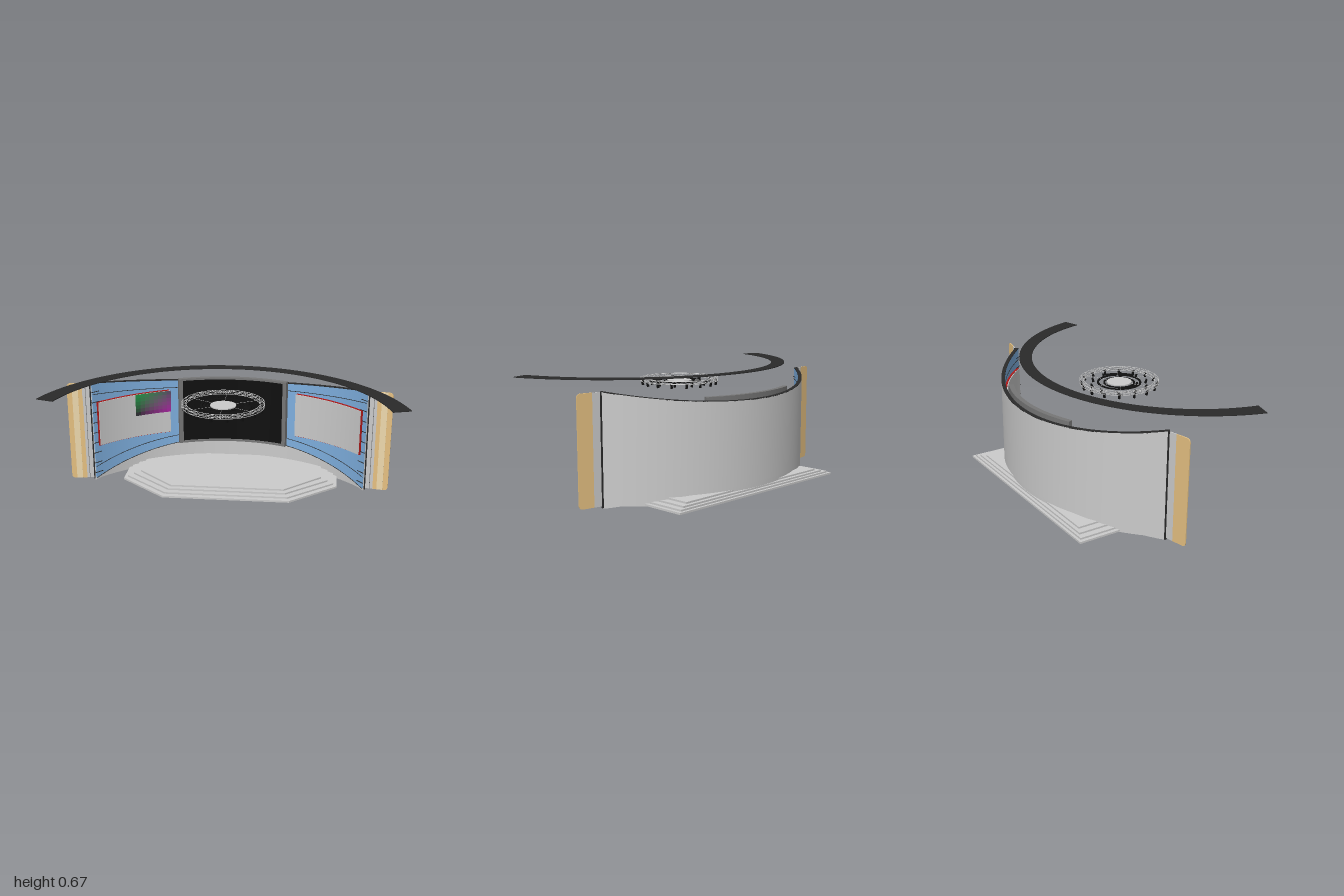
import * as THREE from 'three';
import { toCreasedNormals } from 'three/addons/utils/BufferGeometryUtils.js';

const mat = (color) => new THREE.MeshStandardMaterial({ color, side: THREE.DoubleSide });
const grey = mat(0xcccccc), blue = mat(0x7fb0e0), tan = mat(0xe6c182), paleTan = mat(0xeed9ae);
const dark = mat(0x2a2a2a), black = mat(0x101010), frameGrey = mat(0x777777), red = mat(0xb01818);

const CX = -0.01, CZ = 0.6, R = 1.05; // centre and outer radius of the curved wall
const wallAngle = Math.asin(0.82 / R);

function add(parent, name, geometry, material) {
  const mesh = new THREE.Mesh(geometry, material);
  mesh.name = name;
  parent.add(mesh);
  return mesh;
}

// Curved slab: a four-cornered section swept about a vertical axis.
// Bottom and top are functions of z.
function curvedSlab(cz, r0, r1, a0, a1, bottom, top, steps = 48) {
  const pos = [], idx = [], rm = (r0 + r1) / 2;
  for (let i = 0; i <= steps; i++) {
    const a = a0 + (a1 - a0) * i / steps, z = cz - rm * Math.cos(a);
    for (const [r, y] of [[r0, bottom(z)], [r1, bottom(z)], [r1, top(z)], [r0, top(z)]])
      pos.push(CX + r * Math.sin(a), y, cz - r * Math.cos(a));
  }
  for (let i = 0; i < steps; i++) {
    for (let j = 0; j < 4; j++) {
      const A = i * 4 + j, B = i * 4 + (j + 1) % 4;
      idx.push(A, B, A + 4, B, B + 4, A + 4);
    }
  }
  const e = steps * 4;
  idx.push(0, 2, 1, 0, 3, 2, e, e + 1, e + 2, e, e + 2, e + 3);
  const g = new THREE.BufferGeometry();
  g.setAttribute('position', new THREE.Float32BufferAttribute(pos, 3));
  g.setIndex(idx);
  return toCreasedNormals(g, 0.5);
}

// Flat plate from a plan shape whose second axis is z; its upper face is at y
function plate(parent, name, shape, y, depth, material) {
  const g = new THREE.ExtrudeGeometry(shape, { depth, bevelEnabled: false, curveSegments: 48 });
  g.rotateX(Math.PI / 2);
  const mesh = add(parent, name, g, material);
  mesh.position.y = y;
  return mesh;
}

const wallTop = (z) => 0.62 + (z + 0.055) * 0.2;
const wallBottom = (z) => -(z + 0.055) * 0.2;
const liningBottom = (z) => 0.02 - (z + 0.055) * 0.39;
const flat = (y) => () => y;

function buildDais(group) {
  const dais = new THREE.Group();
  dais.name = 'dais';
  // half width, back z, corner z, front z, front half width, top y
  const tiers = [
    [0.645, -0.47, -0.04, 0.2, 0.37, 0.024], [0.625, -0.455, -0.06, 0.17, 0.36, 0.034],
    [0.59, -0.44, -0.08, 0.135, 0.345, 0.044], [0.55, -0.42, -0.1, 0.105, 0.335, 0.054]];
  for (const [w, back, corner, front, fw, y] of tiers) {
    const shape = new THREE.Shape([[-w, back], [w, back], [w, corner], [fw, front], [-fw, front], [-w, corner]]
      .map(([x, z]) => new THREE.Vector2(x, z)));
    plate(dais, 'daisStep', shape, y, 0.011, grey);
  }
  group.add(dais);
}

function buildWall(group) {
  const wall = new THREE.Group();
  wall.name = 'curvedWall';
  add(wall, 'wallShell', curvedSlab(CZ, 1.038, R, -wallAngle, wallAngle, (z) => Math.max(0, wallBottom(z)), wallTop), grey);
  add(wall, 'wallLining', curvedSlab(CZ, 1.03, 1.038, -wallAngle, wallAngle, liningBottom, (z) => wallTop(z) - 0.004), blue);
  add(wall, 'wallSkirt', curvedSlab(CZ, 1.032, 1.038, -wallAngle, wallAngle, flat(0.01), liningBottom), grey);
  add(wall, 'topTrim', curvedSlab(CZ, 1.028, R, -wallAngle, wallAngle, (z) => wallTop(z) - 0.003, (z) => wallTop(z) + 0.001), dark);

  // thin seams along the lining
  for (const f of [0, 0.12, 0.88]) {
    const y = (z) => liningBottom(z) + f * (wallTop(z) - liningBottom(z));
    add(wall, 'liningSeam', curvedSlab(CZ, 1.028, 1.031, -wallAngle, wallAngle, (z) => y(z) - 0.0015, (z) => y(z) + 0.0015), dark);
  }
  for (const s of [-1, 1]) {
    // side media panel on its red backing
    const a = [0.395, 0.78].map((x) => Math.asin(x / 1.02) * s).sort((p, q) => p - q);
    add(wall, 'panelBacking', curvedSlab(CZ, 1.018, 1.03, a[0], a[1], flat(0.222), flat(0.498), 16), red);
    const inner = a.map((v) => v - s * 0.004);
    add(wall, 'mediaPanel', curvedSlab(CZ, 1.013, 1.018, inner[0], inner[1], flat(0.225), flat(0.495), 16), grey);
    // ticks down the wall end
    for (let i = 0; i < 9; i++) {
      const t = [0.79, 0.825].map((x) => Math.asin(x / R) * s).sort((p, q) => p - q);
      const y = 0.05 + i * 0.064;
      add(wall, 'endTick', curvedSlab(CZ, 1.026, 1.031, t[0], t[1], flat(y), flat(y + 0.003), 2), dark);
    }
    add(wall, 'endPost', new THREE.BoxGeometry(0.008, 0.615, 0.012), dark).position.set(CX + s * 0.82, 0.3125, -0.058);
  }

  // colour patch in tiles blended between four corner colours
  const cols = 8, rows = 6, C = (h) => new THREE.Color(h);
  for (let i = 0; i < cols; i++) for (let j = 0; j < rows; j++) {
    const u = (i + 0.5) / cols, v = (j + 0.5) / rows;
    const low = C(0x100818).lerp(C(0xb020a8), u), high = C(0x18a048).lerp(C(0x504860), u);
    const ang = (k) => -Math.asin((0.585 - 0.2 * k / cols) / 1.012);
    const y = (k) => 0.36 + 0.135 * k / rows;
    add(wall, 'colourTile', curvedSlab(CZ, 1.009, 1.013, ang(i), ang(i + 1), flat(y(j)), flat(y(j + 1)), 1), mat(low.lerp(high, v)));
  }
  group.add(wall);
}

function buildScreen(group) {
  const screen = new THREE.Group();
  screen.name = 'mainScreen';
  const cz = 0.435, a = 0.408, b = 0.379;
  add(screen, 'screenCasing', curvedSlab(cz, 0.842, 0.86, -a, a, flat(0.152), flat(0.572), 24), frameGrey);
  add(screen, 'screenFace', curvedSlab(cz, 0.839, 0.843, -b, b, flat(0.165), flat(0.56), 24), black);
  for (const [y0, y1] of [[0.152, 0.165], [0.56, 0.572]])
    add(screen, 'screenRail', curvedSlab(cz, 0.832, 0.844, -a, a, flat(y0), flat(y1), 24), frameGrey);
  for (const [p, q] of [[-a, -b], [b, a]])
    add(screen, 'screenStile', curvedSlab(cz, 0.832, 0.844, p, q, flat(0.152), flat(0.572), 2), frameGrey);
  group.add(screen);
}

function buildWing(group, s) {
  const wing = new THREE.Group();
  wing.name = s > 0 ? 'leftWing' : 'rightWing';
  const box = (name, x0, x1, h, d, z, m) =>
    add(wing, name, new THREE.BoxGeometry(x1 - x0, h, d), m).position.set(s * (x0 + x1) / 2, 0.3175, z);
  box('wingInnerStrip', 0, 0.048, 0.605, 0.006, 0, grey);
  box('wingStripEdge', 0.028, 0.031, 0.605, 0.003, 0.004, frameGrey);
  // outer board with rounded outer corners
  const x0 = 0.046, x1 = 0.137, y0 = 0.015, y1 = 0.62, r = 0.025;
  const shape = new THREE.Shape();
  shape.moveTo(s * x0, y0).lineTo(s * (x1 - r), y0).quadraticCurveTo(s * x1, y0, s * x1, y0 + r);
  shape.lineTo(s * x1, y1 - r).quadraticCurveTo(s * x1, y1, s * (x1 - r), y1).lineTo(s * x0, y1);
  add(wing, 'wingBoard', new THREE.ExtrudeGeometry(shape, { depth: 0.006, bevelEnabled: false }), tan).position.z = -0.003;
  box('wingPaleBand', 0.072, 0.107, 0.603, 0.003, 0.004, paleTan);
  wing.position.set(CX + s * 0.82, 0, -0.056);
  wing.rotation.y = -s * 0.19;
  group.add(wing);
}

function buildCanopy(group) {
  const shape = new THREE.Shape();
  shape.absarc(0, 0.72, 1.04, -Math.PI + 0.278, -0.278, false);
  shape.absarc(0, 0.674, 0.924, -0.228, -Math.PI + 0.228, true);
  plate(group, 'overheadCrescent', shape, 0.674, 0.004, dark);
}

function buildLightRig(group) {
  const rig = new THREE.Group();
  rig.name = 'lightRig';
  rig.position.set(CX, 0, 0.195);
  const point = (r, a, y) => new THREE.Vector3(r * Math.sin(a), y, r * Math.cos(a));
  const rod = (p, q) => {
    const d = q.clone().sub(p);
    const m = add(rig, 'trussBrace', new THREE.CylinderGeometry(0.001, 0.001, d.length(), 4), grey);
    m.position.copy(p).add(q).multiplyScalar(0.5);
    m.quaternion.setFromUnitVectors(new THREE.Vector3(0, 1, 0), d.normalize());
  };
  // circular box truss: four chords joined by zigzag braces
  const lo = 0.589, hi = 0.606, rIn = 0.208, rOut = 0.232, n = 48;
  for (const r of [rIn, rOut]) for (const y of [lo, hi]) {
    const chord = add(rig, 'trussChord', new THREE.TorusGeometry(r, 0.0016, 5, 64), grey);
    chord.rotation.x = Math.PI / 2;
    chord.position.y = y;
  }
  for (let i = 0; i < n; i++) {
    const a = i * 2 * Math.PI / n, b = (i + 1) * 2 * Math.PI / n, up = i % 2;
    for (const r of [rIn, rOut]) rod(point(r, a, up ? hi : lo), point(r, b, up ? lo : hi));
    for (const y of [lo, hi]) rod(point(up ? rIn : rOut, a, y), point(up ? rOut : rIn, b, y));
  }
  // hanging lamps in two circles
  for (const [r, count] of [[0.222, 16], [0.165, 10]]) for (let i = 0; i < count; i++) {
    const a = (i + 0.5) * 2 * Math.PI / count, lamp = new THREE.Group();
    lamp.name = 'lamp';
    lamp.position.copy(point(r, a, 0.577));
    lamp.rotation.set(0.3, a, 0, 'YXZ');
    add(lamp, 'lampBody', new THREE.CylinderGeometry(0.006, 0.008, 0.022, 8), black);
    add(lamp, 'lampYoke', new THREE.BoxGeometry(0.018, 0.004, 0.006), black).position.y = 0.012;
    rig.add(lamp);
  }
  // inner rings, part arcs and centre disc
  const ring = (name, r0, r1, a0, a1, y, m) => {
    const shape = new THREE.Shape();
    shape.absarc(0, 0, r1, a0, a1, false);
    shape.absarc(0, 0, r0, a1, a0, true);
    plate(rig, name, shape, y, 0.005, m);
  };
  const full = Math.PI * 2 - 0.001;
  ring('outerHoop', 0.118, 0.13, 0, full, 0.59, black);
  ring('innerHoop', 0.083, 0.093, 0, full, 0.588, black);
  ring('hoopArc', 0.13, 0.16, 0, 1.2, 0.589, black);
  ring('hoopArc', 0.1, 0.112, 2.2, 3.8, 0.589, black);
  const disc = add(rig, 'centreDisc', new THREE.CylinderGeometry(0.073, 0.073, 0.006, 40), grey);
  disc.position.y = 0.59;
  for (let i = 0; i < 6; i++) rod(point(0.07, i * Math.PI / 3, 0.59), point(rIn, i * Math.PI / 3, 0.59));
  group.add(rig);
}

export function createModel() {
  const group = new THREE.Group();
  group.name = 'curvedStage';
  buildDais(group);
  buildWall(group);
  buildScreen(group);
  for (const s of [-1, 1]) buildWing(group, s);
  buildCanopy(group);
  buildLightRig(group);
  return group;
}
